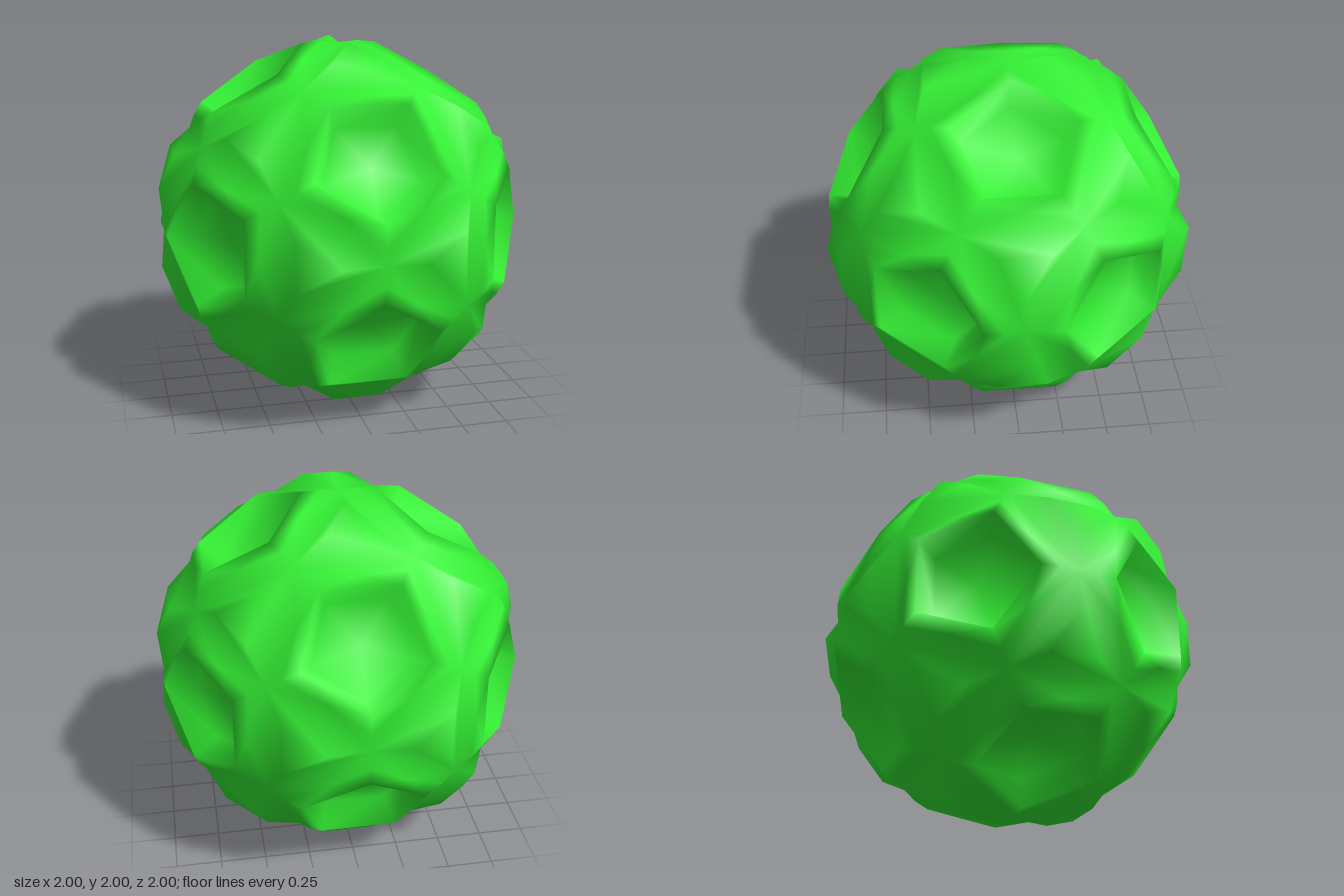
import * as THREE from 'three';
import { mergeVertices } from 'three/addons/utils/BufferGeometryUtils.js';

const mix = (a, b, t) => a.clone().lerp(b, t);

// A truncated icosahedron: every pentagon sinks into a crater, every hexagon
// carries a low triangular plateau. Built per icosahedron face, three corners each.
function shellGeometry() {
  const positions = [];
  const tri = (a, b, c) => {
    const normal = b.clone().sub(a).cross(c.clone().sub(a));
    const outward = normal.dot(a.clone().add(b).add(c)) > 0;
    for (const p of outward ? [a, b, c] : [a, c, b]) positions.push(p.x, p.y, p.z);
  };
  const quad = (a, b, c, d) => { tri(a, b, c); tri(a, c, d); };

  const base = new THREE.IcosahedronGeometry(1.1514, 0).getAttribute('position');
  for (let f = 0; f < base.count; f += 3) {
    const corners = [0, 1, 2].map(i => new THREE.Vector3().fromBufferAttribute(base, f + i));
    const centre = corners[0].clone().add(corners[1]).add(corners[2]).divideScalar(3);
    const axis = centre.clone().normalize();

    // Plateau: foot at the edge midpoints, smaller raised top
    const foot = corners.map((c, i) => mix(c, corners[(i + 1) % 3], 0.5));
    const top = foot.map(p => mix(centre, p, 0.43).addScaledVector(axis, 0.098));
    tri(...top);

    for (let i = 0; i < 3; i++) {
      const j = (i + 2) % 3;
      const a = corners[i], b = corners[(i + 1) % 3], c = corners[j];

      // Sloping flank of the plateau
      quad(foot[i], foot[j], top[j], top[i]);

      // Gently swollen strip between plateau and crater rim
      const rimB = mix(a, b, 1 / 3), rimC = mix(a, c, 1 / 3);
      const swellB = mix(rimB, foot[i], 0.5).setLength(0.994);
      const swellC = mix(rimC, foot[j], 0.5).setLength(0.994);
      const hub = mix(mix(foot[i], foot[j], 0.5), mix(rimB, rimC, 0.5), 0.6)
        .addScaledVector(axis, 0.012);
      const ring = [foot[i], swellB, rimB, rimC, swellC, foot[j]];
      ring.forEach((p, k) => tri(hub, p, ring[(k + 1) % ring.length]));

      // One fifth of a crater: steep wall and flat floor
      const craterAxis = a.clone().normalize();
      const mouth = craterAxis.clone().multiplyScalar(0.9393);
      const sink = p => mix(mouth, p, 0.8).addScaledVector(craterAxis, -0.145);
      const floorB = sink(rimB), floorC = sink(rimC);
      quad(rimB, rimC, floorC, floorB);
      tri(sink(mouth), floorB, floorC);
    }
  }

  const raw = new THREE.BufferGeometry();
  raw.setAttribute('position', new THREE.Float32BufferAttribute(positions, 3));
  const geometry = mergeVertices(raw, 1e-3);
  geometry.computeVertexNormals();
  return geometry;
}

export function createModel() {
  const group = new THREE.Group();
  group.name = 'crateredBall';
  const shell = new THREE.Mesh(shellGeometry(), new THREE.MeshStandardMaterial({ color: 0x33ee33 }));
  shell.name = 'shell';
  shell.position.y = 1;
  group.add(shell);
  return group;
}
